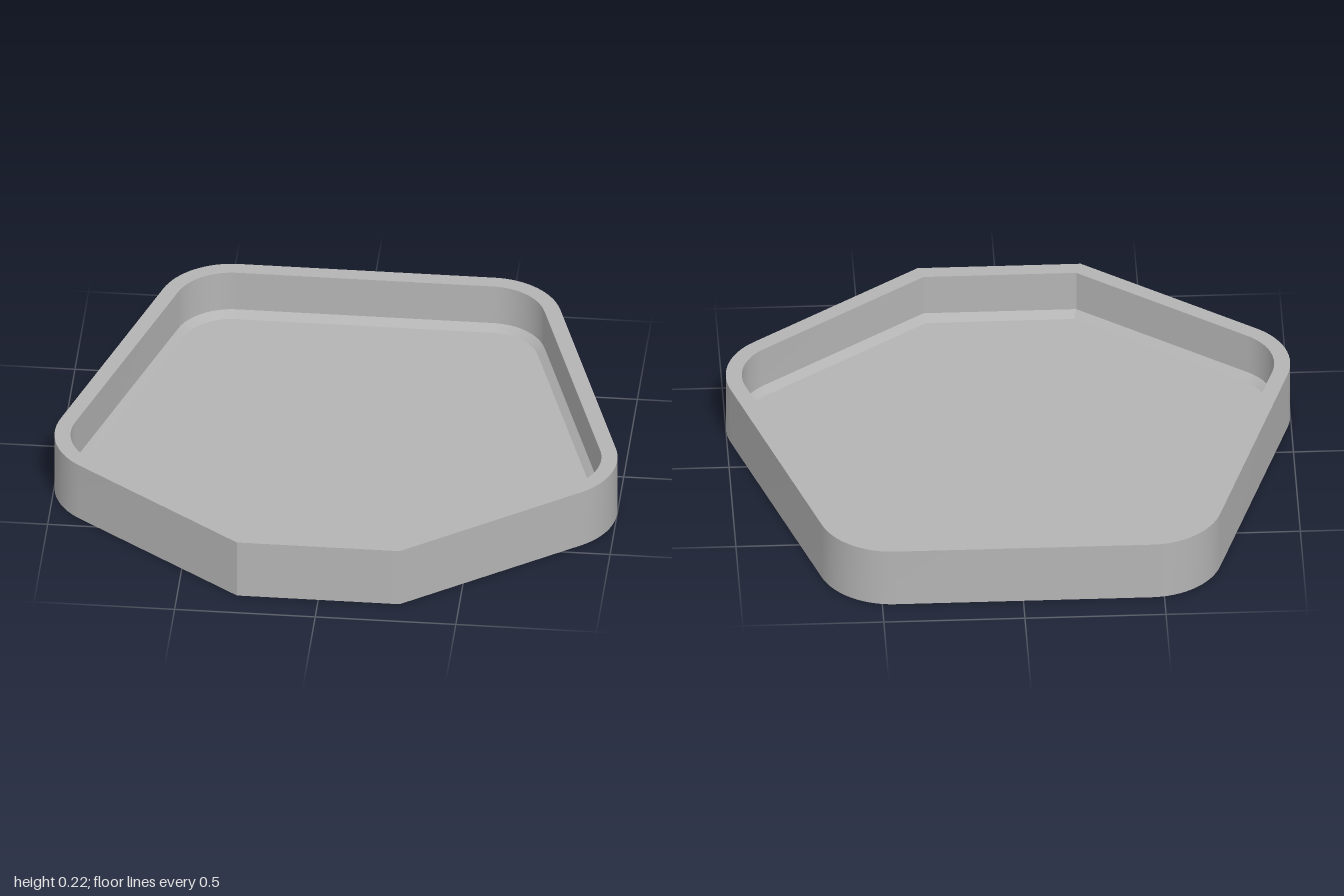
import * as THREE from 'three';
import { toCreasedNormals } from 'three/addons/utils/BufferGeometryUtils.js';

const APOTHEM = 0.89, RADIUS = 0.264, STEPS = 16, DEG = Math.PI / 180;

// Pentagon outline moved inwards by inset: four round corners, front one cut flat
function outline(inset, y) {
  const a = APOTHEM - inset, r = RADIUS - inset;
  const dist = (APOTHEM - RADIUS) / Math.cos(36 * DEG);
  const points = [];
  for (const corner of [162, 234, 306, 378]) {
    const cx = dist * Math.cos(corner * DEG), cz = dist * Math.sin(corner * DEG);
    for (let i = 0; i <= STEPS; i++) {
      const t = (corner - 36 + 72 * i / STEPS) * DEG;
      points.push(new THREE.Vector3(cx + r * Math.cos(t), y, cz + r * Math.sin(t)));
    }
  }
  // ends of the flat front edge
  const x = (a - a * Math.sin(54 * DEG)) / Math.cos(54 * DEG);
  points.push(new THREE.Vector3(x, y, a), new THREE.Vector3(-x, y, a));
  return points;
}

// Band of faces between two outlines
function band(from, to) {
  const pos = [], n = from.length;
  for (let i = 0; i < n; i++) {
    const j = (i + 1) % n;
    for (const tri of [[from[i], to[i], from[j]], [from[j], to[i], to[j]]]) {
      if (new THREE.Triangle(...tri).getArea() < 1e-9) continue;
      for (const p of tri) pos.push(p.x, p.y, p.z);
    }
  }
  const geometry = new THREE.BufferGeometry();
  geometry.setAttribute('position', new THREE.Float32BufferAttribute(pos, 3));
  return toCreasedNormals(geometry, 25 * DEG);
}

export function createModel() {
  const group = new THREE.Group();
  group.name = 'tray';
  const grey = new THREE.MeshStandardMaterial({ color: 0xb4b4b4 });
  grey.name = 'grey';

  const centre = (y) => outline(0, y).map(() => new THREE.Vector3(0, y, 0));
  // Profile from the middle of the underside, over the wall, to the middle of the floor
  const rings = [
    centre(0), outline(0, 0), outline(0, 0.225), outline(0.057, 0.225),
    outline(0.057, 0.07), outline(0.082, 0.045), centre(0.045),
  ];
  const names = ['underside', 'outerWall', 'rim', 'innerWall', 'floorChamfer', 'floor'];
  names.forEach((name, i) => {
    const mesh = new THREE.Mesh(band(rings[i], rings[i + 1]), grey);
    mesh.name = name;
    group.add(mesh);
  });
  return group;
}
